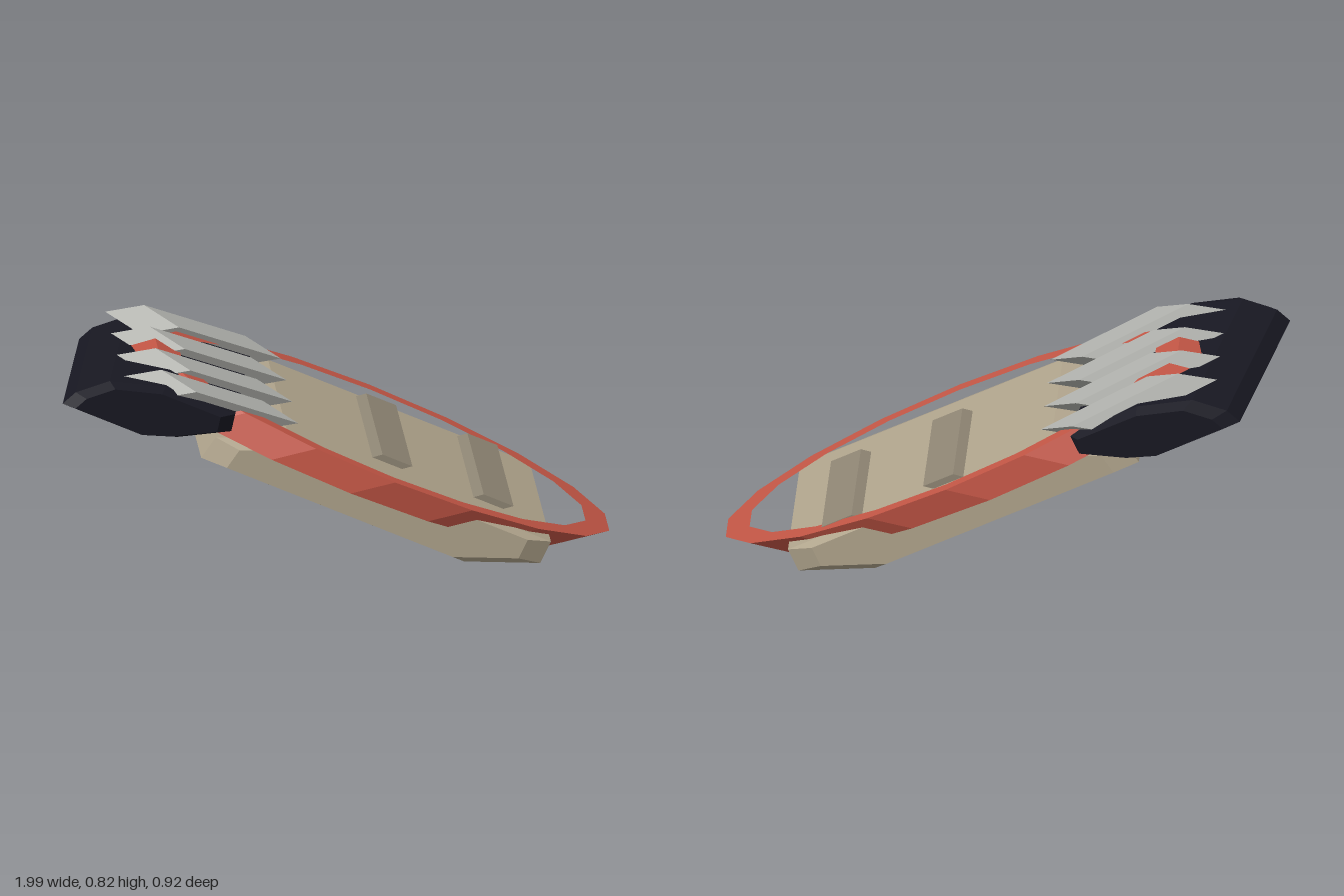
import * as THREE from 'three';
import { ConvexGeometry } from 'three/addons/geometries/ConvexGeometry.js';

const mat = (color) => new THREE.MeshStandardMaterial({ color, flatShading: true });
const shell = mat(0xb0a48c);
const ribMat = mat(0x8f8674);
const red = mat(0xc25545);
const black = mat(0x181822);
const grey = mat(0xb0b1ac);

// Polygon on the z = 0 plane from [u, z] points
const poly = (pts, Type = THREE.Shape) => new Type(pts.map(([u, z]) => new THREE.Vector2(u, -z)));

// Slab whose top face lies at height v; its walls lean back by du over a thickness dv
function leaningSlab(shape, v, du, dv) {
  const geo = new THREE.ExtrudeGeometry(shape, { depth: 1, bevelEnabled: false });
  const m = new THREE.Matrix4().makeBasis(
    new THREE.Vector3(1, 0, 0), new THREE.Vector3(0, 0, -1), new THREE.Vector3(du, dv, 0));
  m.setPosition(-du, v - dv, 0);
  return geo.applyMatrix4(m);
}

// Side profile stretched across z, with chamfered ends and an optional skew along u
function chamferedBlock(profile, inner, outer, endScale, skew = 0) {
  const n = profile.length;
  const cu = profile.reduce((s, p) => s + p[0], 0) / n;
  const cv = profile.reduce((s, p) => s + p[1], 0) / n;
  const pts = [];
  for (const [z, k] of [[-outer, endScale], [-inner, 1], [inner, 1], [outer, endScale]]) {
    for (const [u, v] of profile) {
      pts.push(new THREE.Vector3(cu + (u - cu) * k + skew * z, cv + (v - cv) * k, z));
    }
  }
  return new ConvexGeometry(pts);
}

export function createModel() {
  const model = new THREE.Group();
  const tilted = new THREE.Group();
  tilted.name = 'tiltedAssembly';
  tilted.rotation.z = THREE.MathUtils.degToRad(-25);
  model.add(tilted);

  const add = (name, geometry, material) => {
    const mesh = new THREE.Mesh(geometry, material);
    mesh.name = name;
    tilted.add(mesh);
    return mesh;
  };

  // Main plate
  add('basePlate', chamferedBlock([
    [-0.66, 0.238], [-0.645, 0.33], [-0.40, 0.428],
    [0.638, 0.428], [0.638, 0.338], [0.382, 0.238],
  ], 0.37, 0.41, 0.86), shell);

  // Cross ribs on the plate
  for (const u of [-0.024, 0.377]) {
    const rib = poly([[u, 0.225], [u + 0.118, 0.225], [u + 0.118, -0.35], [u, -0.35]]);
    add('crossRib', leaningSlab(rib, 0.452, 0.032, 0.026), ribMat);
  }

  // Oval rim with eighteen sides
  const oval = (k) => Array.from({ length: 18 }, (_, i) => {
    const a = ((i * 20 + 10) * Math.PI) / 180;
    return [0.906 * k * Math.cos(a), 0.462 * k * Math.sin(a)];
  });
  const rim = poly(oval(1));
  rim.holes.push(poly(oval(0.895), THREE.Path));
  add('ovalRim', leaningSlab(rim, 0.45, 0.13, 0.1), red);

  // Skewed dark block at the raised end
  add('upperBlock', chamferedBlock([
    [-1.135, 0.238], [-1.11, 0.296], [-1.015, 0.383], [-0.82, 0.44],
    [-0.545, 0.44], [-0.53, 0.375], [-0.70, 0.28], [-0.82, 0.238],
  ], 0.375, 0.42, 0.84, -0.2), black);

  // Slanted slats across the dark block
  for (let i = 0; i < 4; i++) {
    const z = 0.305 - i * 0.203;
    const slat = poly([
      [-0.919, z], [-0.507, z - 0.095], [-0.376, z - 0.005], [-0.79, z + 0.09],
    ]);
    add('slat', leaningSlab(slat, 0.47, 0.118, 0.077), grey);
  }
  return model;
}
